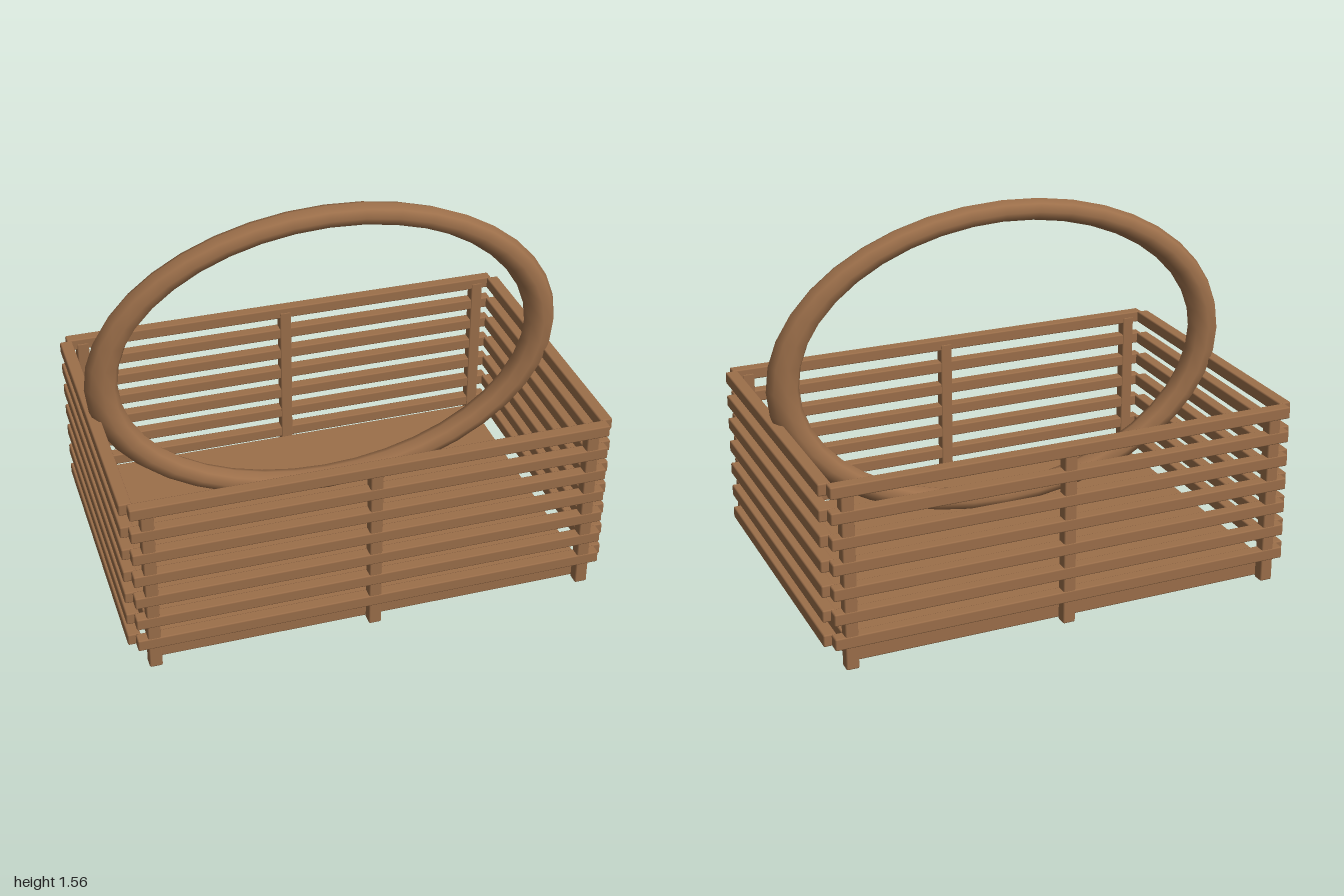
import * as THREE from 'three';
import { RoundedBoxGeometry } from 'three/addons/geometries/RoundedBoxGeometry.js';

export function createModel() {
  const basket = new THREE.Group();
  basket.name = 'basket';
  const wood = new THREE.MeshStandardMaterial({ color: 0x9c6f4a });
  wood.name = 'warm brown wood';

  // softly bevelled timber, placed by its centre
  function timber(name, w, h, d, x, y, z) {
    const mesh = new THREE.Mesh(new RoundedBoxGeometry(w, h, d, 1, 0.006), wood);
    mesh.name = name;
    mesh.position.set(x, y, z);
    basket.add(mesh);
  }

  // solid floor
  timber('floor', 1.8, 0.086, 1.23, 0, 0.05, 0);

  // slatted walls
  for (let i = 0; i < 7; i++) {
    const y = 0.117 + i * 0.1035;
    for (const s of [-1, 1]) {
      timber('longSlat', 1.934, 0.05, 0.05, 0, y, s * 0.64);
      timber('sideSlat', 0.052, 0.05, 1.234, s * 0.972, y, 0);
    }
  }

  // upright posts on the long walls
  for (const s of [-1, 1]) {
    for (const x of [-0.9, 0, 0.9]) {
      timber('post', 0.052, 0.74, 0.05, x, 0.37, s * 0.638);
    }
  }

  // oval hoop handle
  const hoop = new THREE.TorusGeometry(0.9325, 0.0675, 8, 40);
  hoop.scale(1, 0.66, 0.82);
  const handle = new THREE.Mesh(hoop, wood);
  handle.name = 'handle';
  handle.position.y = 0.895;
  basket.add(handle);

  return basket;
}
